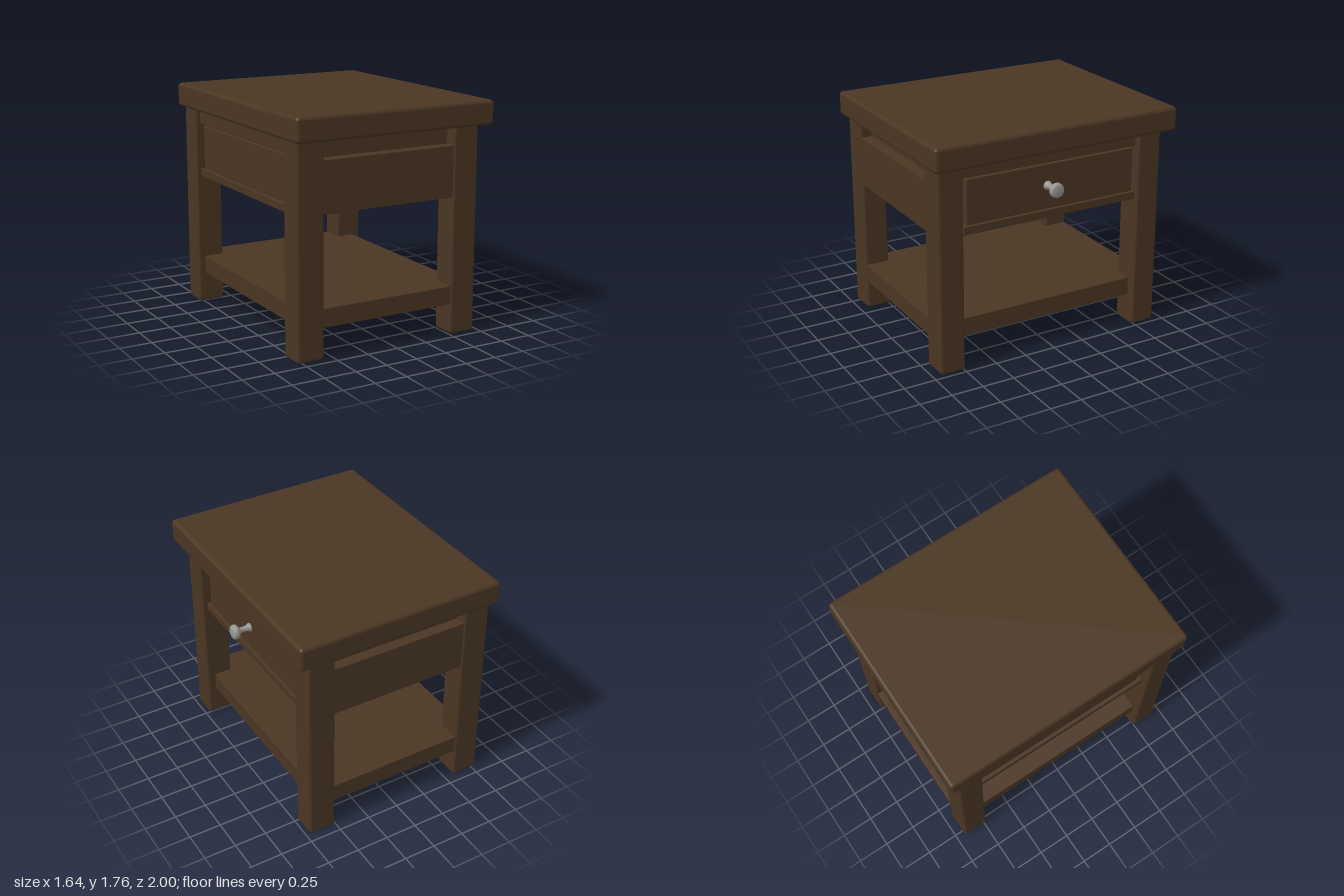
import * as THREE from 'three';
import { RoundedBoxGeometry } from 'three/addons/geometries/RoundedBoxGeometry.js';

export function createModel() {
  const table = new THREE.Group();
  table.name = 'sideTable';
  const wood = new THREE.MeshStandardMaterial({ color: 0x4a3623 });
  wood.name = 'dark wood';
  const metal = new THREE.MeshStandardMaterial({ color: 0x989690 });
  metal.name = 'knob metal';

  // Box given by its [min, max] on each axis, with rounded edges
  function block(name, [x0, x1], [y0, y1], [z0, z1], radius = 0.006) {
    const geometry = new RoundedBoxGeometry(x1 - x0, y1 - y0, z1 - z0, 3, radius);
    const mesh = new THREE.Mesh(geometry, wood);
    mesh.name = name;
    mesh.position.set((x0 + x1) / 2, (y0 + y1) / 2, (z0 + z1) / 2);
    table.add(mesh);
    return mesh;
  }

  // Top
  block('tableTop', [-0.82, 0.815], [1.573, 1.757], [-1, 1], 0.028);

  // Four legs
  const legX = { right: [-0.79, -0.573], left: [0.505, 0.72] };
  const legZ = { Front: [0.74, 0.94], Back: [-0.93, -0.73] };
  for (const [side, x] of Object.entries(legX)) {
    for (const [end, z] of Object.entries(legZ)) {
      block(side + end + 'Leg', x, [0, 1.59], z, 0.022);
    }
  }

  // Shelf running between the legs
  block('shelf', [-0.73, 0.65], [0.232, 0.376], [-0.92, 0.93]);

  // Front and back aprons: recessed rail over a flush panel
  const inner = [-0.58, 0.512];
  block('frontRail', inner, [1.43, 1.58], [0.75, 0.85]);
  block('frontPanel', inner, [1.05, 1.438], [0.75, 0.93]);
  block('backRail', inner, [1.43, 1.58], [-0.84, -0.74]);
  block('backPanel', inner, [1.05, 1.438], [-0.92, -0.74]);

  // Drawer case
  block('caseTop', [-0.75, 0.68], [1.46, 1.58], [-0.73, 0.728]);
  block('caseCore', [-0.69, 0.63], [1.08, 1.48], [-0.71, 0.68]);
  block('caseBottom', [-0.75, 0.685], [1.038, 1.1], [-0.733, 0.725]);

  // Drawer front and the plain panel opposite
  block('drawerFront', [0.6, 0.665], [1.1, 1.443], [-0.717, 0.69]);
  block('plainPanel', [-0.725, -0.66], [1.1, 1.443], [-0.717, 0.69]);

  // Turned knob on the drawer
  const profile = [
    [0, 0], [0.034, 0], [0.034, 0.012], [0.024, 0.03], [0.02, 0.06],
    [0.022, 0.088], [0.034, 0.1], [0.052, 0.112], [0.056, 0.124],
    [0.056, 0.138], [0.05, 0.15], [0.036, 0.156], [0, 0.158],
  ].map(([r, y]) => new THREE.Vector2(r, y));
  const knob = new THREE.Mesh(new THREE.LatheGeometry(profile, 28), metal);
  knob.name = 'drawerKnob';
  knob.rotation.z = -Math.PI / 2;
  knob.position.set(0.66, 1.282, 0.027);
  table.add(knob);

  return table;
}
